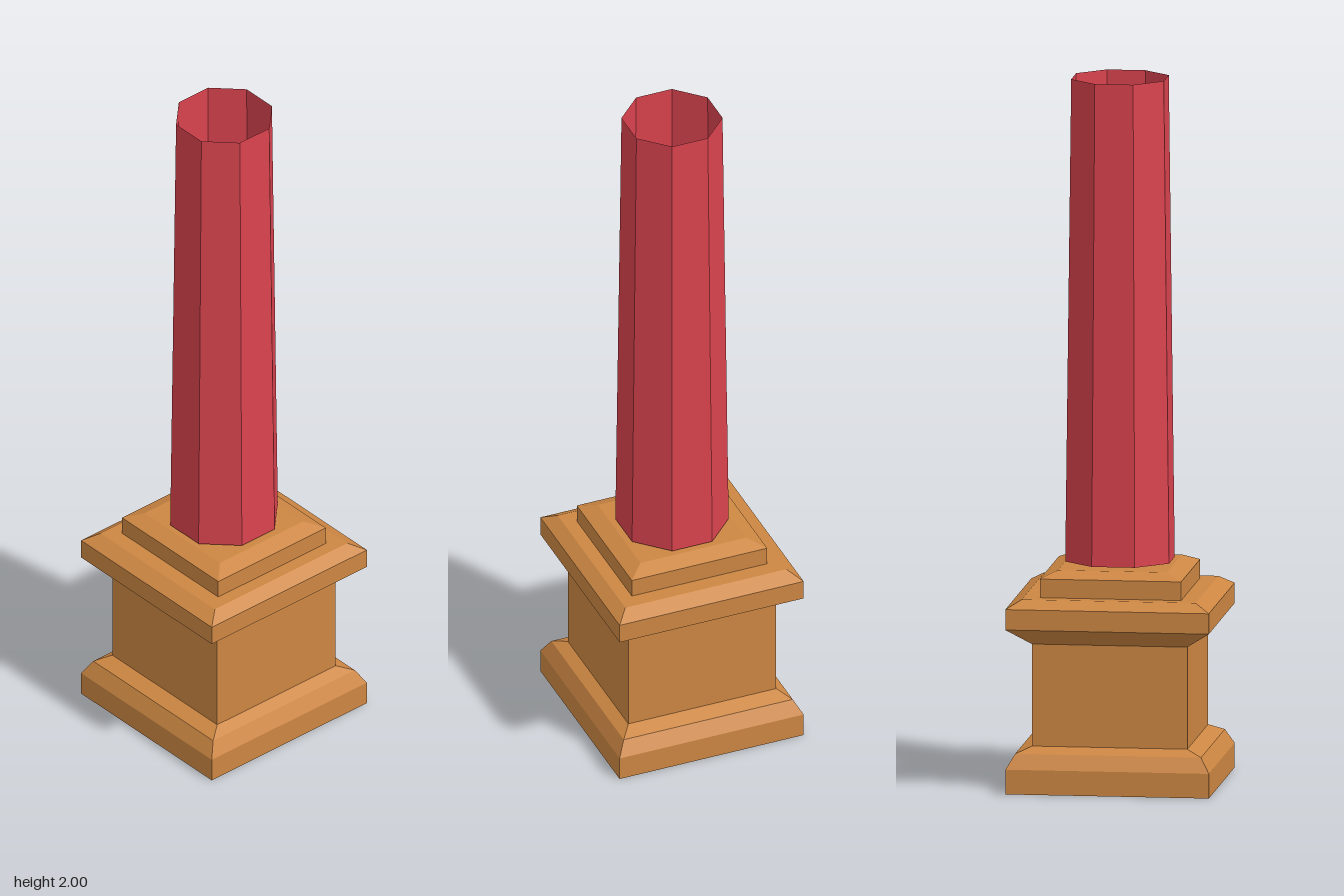
import * as THREE from 'three';

// Stacks rectangular sections [halfX, halfZ, y] into a closed solid with flat faces.
function stackRects(sections) {
  const rings = sections.map(([x, z, y]) => [[-x, y, z], [x, y, z], [x, y, -z], [-x, y, -z]]);
  const pos = [];
  const quad = (a, b, c, d) => pos.push(...a, ...b, ...c, ...a, ...c, ...d);
  for (let i = 0; i < rings.length - 1; i++) {
    const lo = rings[i], hi = rings[i + 1];
    for (let k = 0; k < 4; k++) {
      const n = (k + 1) % 4;
      quad(lo[k], lo[n], hi[n], hi[k]);
    }
  }
  const [a, b, c, d] = rings[0];
  quad(d, c, b, a);
  quad(...rings[rings.length - 1]);
  const geometry = new THREE.BufferGeometry();
  geometry.setAttribute('position', new THREE.Float32BufferAttribute(pos, 3));
  geometry.computeVertexNormals();
  return geometry;
}

export function createModel() {
  const group = new THREE.Group();
  const stone = new THREE.MeshStandardMaterial({ color: 0xcd8743, flatShading: true });
  const red = new THREE.MeshStandardMaterial({ color: 0xd9434e, flatShading: true, side: THREE.DoubleSide });

  const add = (name, geometry, material) => {
    const mesh = new THREE.Mesh(geometry, material);
    mesh.name = name;
    group.add(mesh);
    return mesh;
  };

  // Pedestal: plinth, die, flared cornice and stepped top block
  add('pedestal', stackRects([
    [0.28, 0.288, 0],
    [0.28, 0.288, 0.07],
    [0.257, 0.263, 0.112],
    [0.225, 0.22, 0.13],
    [0.225, 0.22, 0.42],
    [0.28, 0.288, 0.467],
    [0.28, 0.288, 0.525],
    [0.245, 0.246, 0.549],
    [0.206, 0.2, 0.549],
    [0.206, 0.2, 0.602],
    [0.161, 0.155, 0.621],
  ]), stone);

  // Tapered octagonal shaft, hollow and open at both ends, flats facing the axes
  const bottom = 0.63, top = 2, toCorner = 1 / Math.cos(Math.PI / 8);
  const shaft = add('shaft', new THREE.CylinderGeometry(
    0.131 * toCorner, 0.147 * toCorner, top - bottom, 8, 1, true, Math.PI / 8), red);
  shaft.position.y = (top + bottom) / 2;

  return group;
}
